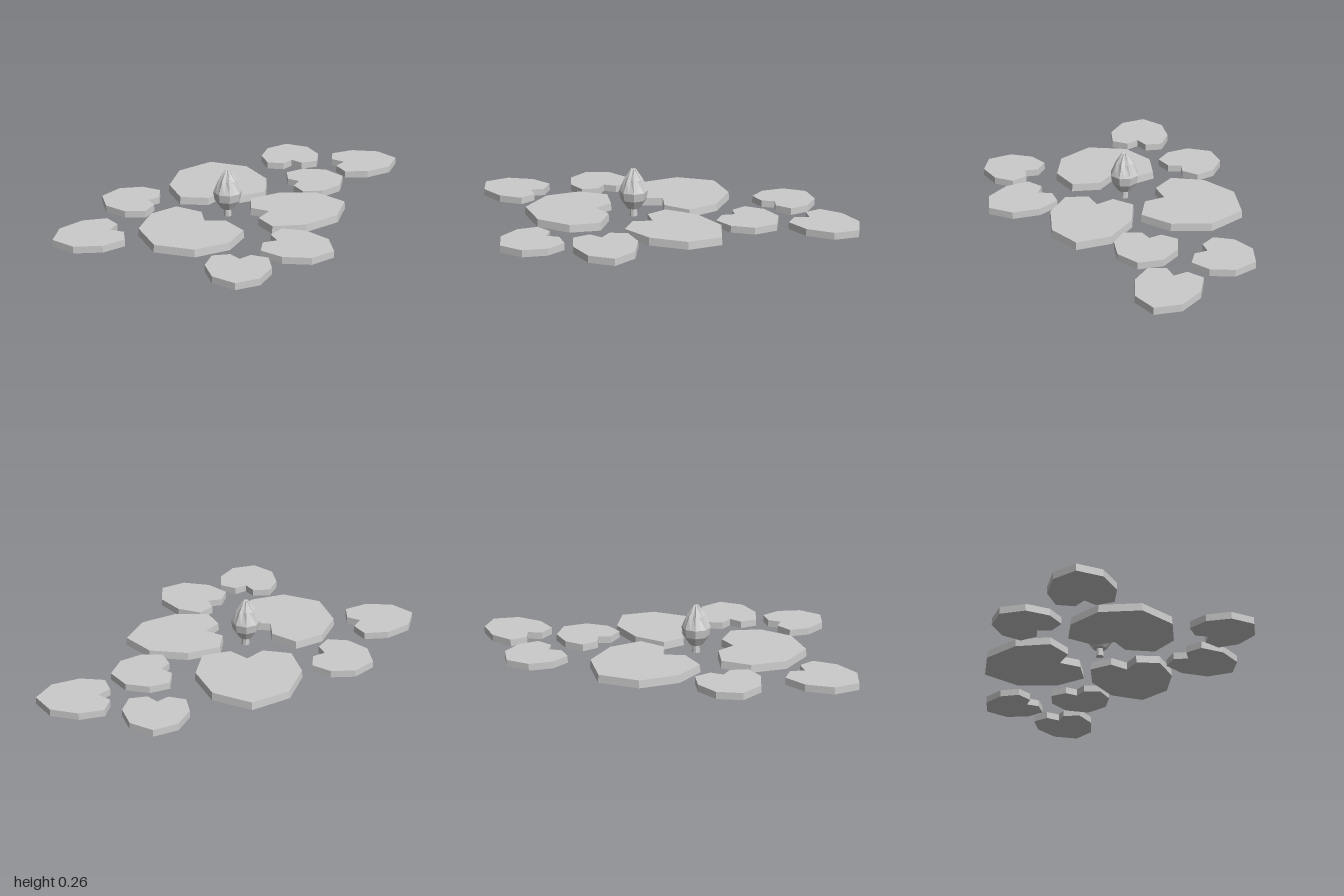
import * as THREE from 'three';

const material = new THREE.MeshStandardMaterial({ color: 0xcccccc, flatShading: true });

// Half of a leaf outline: [distance from tip towards notch, distance across]
const HALF_LEAF = [[0, 0], [0.235, 0.71], [0.69, 1], [1.1, 0.855], [1.185, 0.31], [1, 0]];

// Pads: tip x, tip z, notch x, notch z, half width
const LARGE_PADS = [
  [-0.067, -0.652, -0.067, -0.219, 0.275],
  [0.564, 0.021, 0.136, 0.08, 0.219],
  [-0.505, 0.39, -0.211, 0.139, 0.275],
];
const SMALL_PADS = [
  [0.417, -0.864, 0.398, -0.61, 0.166],
  [0.997, -0.545, 0.687, -0.535, 0.164],
  [0.634, -0.332, 0.377, -0.299, 0.164],
  [-0.714, -0.273, -0.473, -0.176, 0.168],
  [-1.0, 0.241, -0.703, 0.166, 0.166],
  [-0.168, 0.857, -0.104, 0.604, 0.164],
  [0.372, 0.594, 0.115, 0.428, 0.166],
];

// Notched leaf slab whose top face is slightly smaller than its base
function makePad([tx, tz, nx, nz, halfWidth], height, topScale, name) {
  const tip = new THREE.Vector2(tx, -tz);
  const axis = new THREE.Vector2(nx, -nz).sub(tip);
  const across = new THREE.Vector2(-axis.y, axis.x).setLength(halfWidth);
  const place = (a, w) => tip.clone().addScaledVector(axis, a).addScaledVector(across, w);

  const left = HALF_LEAF.map(([a, w]) => place(a, w));
  const right = HALF_LEAF.slice(1, -1).reverse().map(([a, w]) => place(a, -w));
  const geometry = new THREE.ExtrudeGeometry(new THREE.Shape([...left, ...right]), {
    depth: height, bevelEnabled: false,
  });

  const centre = place(0.62, 0);
  const pos = geometry.attributes.position;
  for (let i = 0; i < pos.count; i++) {
    if (pos.getZ(i) < height / 2) continue;
    pos.setX(i, centre.x + (pos.getX(i) - centre.x) * topScale);
    pos.setY(i, centre.y + (pos.getY(i) - centre.y) * topScale);
  }
  geometry.rotateX(-Math.PI / 2);
  geometry.computeVertexNormals();
  const mesh = new THREE.Mesh(geometry, material);
  mesh.name = name;
  return mesh;
}

// Closed bud: eight petals with grooves that deepen towards the tip
function makeBud() {
  const profile = [[0, 0.04], [0.036, 0.045], [0.07, 0.095], [0.077, 0.14], [0.05, 0.205], [0.014, 0.26], [0, 0.255]];
  const groove = [1, 0.924, 0.924, 0.924, 0.8, 0.6, 1];
  const geometry = new THREE.LatheGeometry(profile.map(([r, y]) => new THREE.Vector2(r, y)), 16);
  const pos = geometry.attributes.position;
  for (let i = 0; i < pos.count; i++) {
    const column = Math.floor(i / profile.length);
    if (column % 2 === 0) continue;
    const k = groove[i % profile.length];
    pos.setX(i, pos.getX(i) * k);
    pos.setZ(i, pos.getZ(i) * k);
  }
  geometry.computeVertexNormals();
  const mesh = new THREE.Mesh(geometry, material);
  mesh.name = 'budPetals';
  return mesh;
}

export function createModel() {
  const model = new THREE.Group();
  model.name = 'lilyPads';

  // Floating leaves
  LARGE_PADS.forEach((pad, i) => model.add(makePad(pad, 0.041, 0.985, `largePad${i + 1}`)));
  SMALL_PADS.forEach((pad, i) => model.add(makePad(pad, 0.037, 0.995, `smallPad${i + 1}`)));

  // Flower bud on its short stem
  const flower = new THREE.Group();
  flower.name = 'flowerBud';
  const stem = new THREE.Mesh(new THREE.CylinderGeometry(0.017, 0.021, 0.05, 8), material);
  stem.name = 'stem';
  stem.position.y = 0.025;
  flower.add(stem, makeBud());
  flower.position.set(-0.07, 0, 0.005);
  model.add(flower);

  return model;
}
